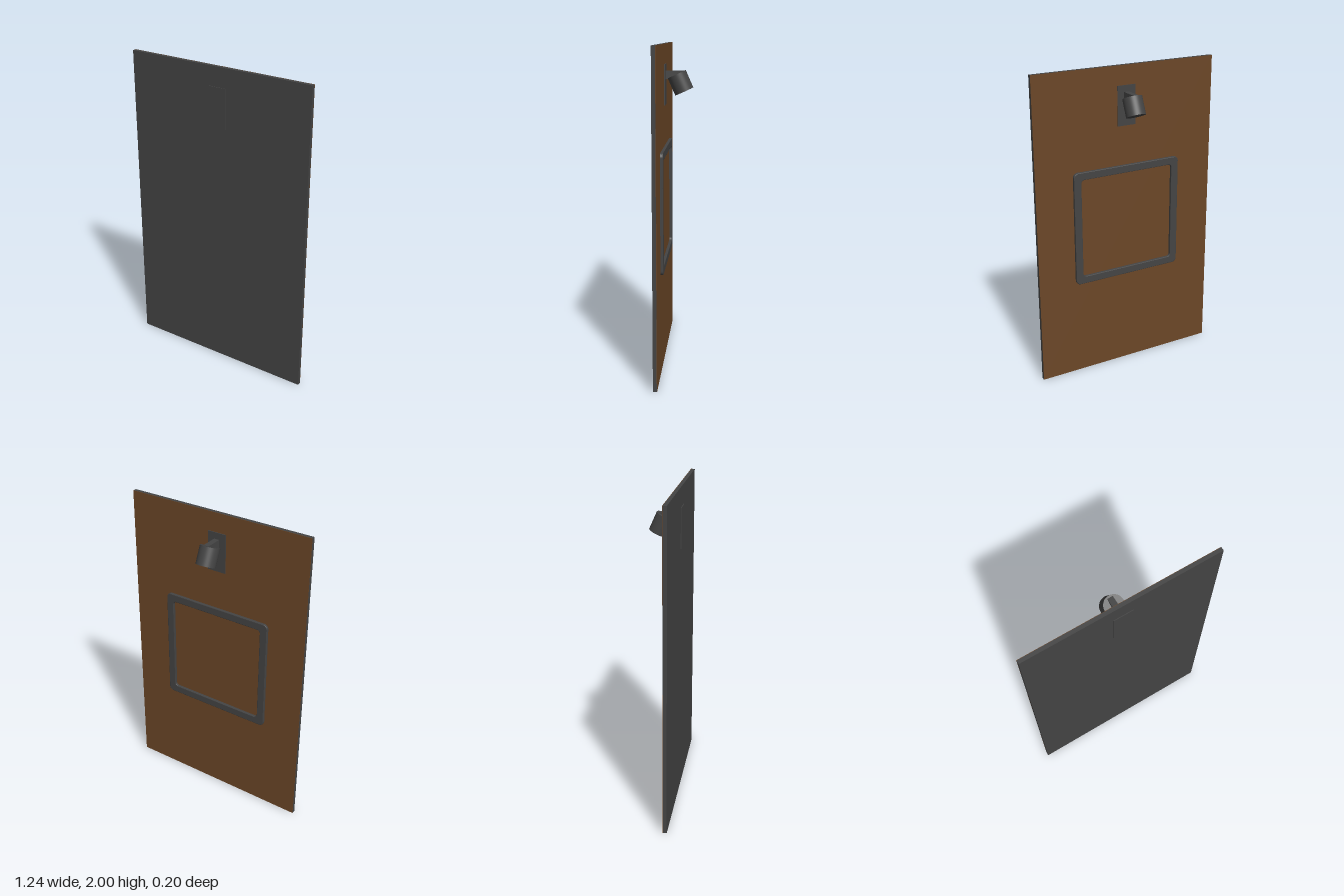
import * as THREE from 'three';

const grey = new THREE.MeshStandardMaterial({ color: 0x444444 });
const wood = new THREE.MeshStandardMaterial({ color: 0x6c4727 });

function box(name, material, [w, h, d], [x, y, z]) {
  const mesh = new THREE.Mesh(new THREE.BoxGeometry(w, h, d), material);
  mesh.name = name;
  mesh.position.set(x, y, z);
  return mesh;
}

// Traces a centred square with rounded corners
function roundedSquare(path, half, radius) {
  const c = half - radius;
  path.moveTo(half, -c);
  [[c, c], [-c, c], [-c, -c], [c, -c]].forEach(([x, y], i) =>
    path.absarc(x, y, radius, i * Math.PI / 2, (i + 1) * Math.PI / 2, false));
  path.closePath();
  return path;
}

export function createModel() {
  const model = new THREE.Group();

  // Door-like panel with a wooden face on its back
  model.add(box('panel', grey, [1.244, 2, 0.023], [0, 1, 0.0865]));
  model.add(box('woodFace', wood, [1.244, 2, 0.002], [0, 1, 0.074]));

  // Square frame with softened edges, sunk slightly into the wood
  const outline = roundedSquare(new THREE.Shape(), 0.373, 0.03);
  outline.holes.push(roundedSquare(new THREE.Path(), 0.323, 0.02));
  const bevel = 0.004;
  const frame = new THREE.Mesh(new THREE.ExtrudeGeometry(outline, {
    depth: 0.018, curveSegments: 6, bevelEnabled: true, bevelSegments: 2,
    bevelSize: bevel, bevelThickness: bevel, bevelOffset: -bevel,
  }), grey);
  frame.name = 'squareFrame';
  frame.position.set(0, 1.004, 0.06);
  model.add(frame);

  // Mounting plate passing through the panel, and the lamp arm
  model.add(box('mountPlate', grey, [0.124, 0.25, 0.034], [0, 1.753, 0.085]));
  model.add(box('lampArm', grey, [0.035, 0.05, 0.116], [0, 1.812, 0.015]));

  // Cylindrical lamp, tilted away from the panel
  const lamp = new THREE.Mesh(new THREE.CylinderGeometry(0.061, 0.061, 0.115, 48), grey);
  lamp.name = 'lampHead';
  lamp.position.set(0, 1.763, -0.023);
  lamp.rotation.x = THREE.MathUtils.degToRad(24);
  model.add(lamp);

  return model;
}
